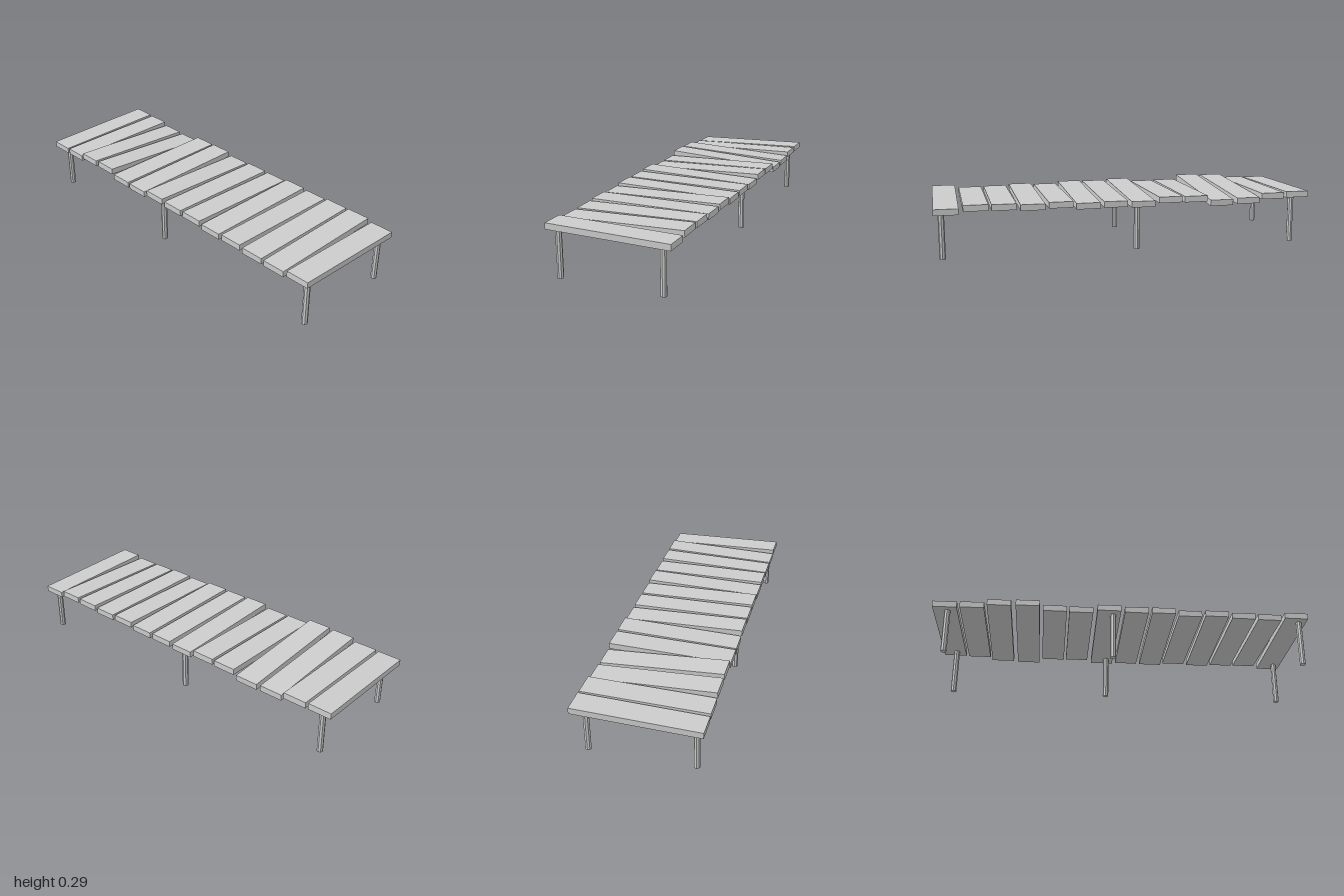
import * as THREE from 'three';

export function createModel() {
  const model = new THREE.Group();
  model.name = 'boardwalk';
  const material = new THREE.MeshStandardMaterial({ color: 0xcccccc, flatShading: true });

  // Planks from front to back: [z centre, sideways tilt in radians]
  const planks = [
    [0.936, -0.019], [0.789, 0.028], [0.648, 0.022], [0.503, 0.001], [0.358, 0.02],
    [0.216, -0.016], [0.071, -0.008], [-0.075, -0.026], [-0.224, 0.029], [-0.363, 0.023],
    [-0.507, -0.058], [-0.657, -0.043], [-0.796, 0.02], [-0.937, 0.03],
  ];
  const plankGeometry = new THREE.BoxGeometry(0.642, 0.032, 0.126);
  planks.forEach(([z, tilt], i) => {
    const plank = new THREE.Mesh(plankGeometry, material);
    plank.name = `plank${i + 1}`;
    plank.position.set(0, 0.259, z);
    plank.rotation.z = tilt;
    model.add(plank);
  });

  // Three pairs of octagonal posts reaching just into the planks
  const height = 0.25;
  const legGeometry = new THREE.CylinderGeometry(0.016, 0.016, height, 8);
  for (const [row, z] of [['front', 0.96], ['middle', -0.052], ['back', -0.925]]) {
    for (const [side, x] of [['Right', -0.273], ['Left', 0.266]]) {
      const leg = new THREE.Mesh(legGeometry, material);
      leg.name = `${row}${side}Leg`;
      leg.position.set(x, height / 2, z);
      model.add(leg);
    }
  }
  return model;
}
